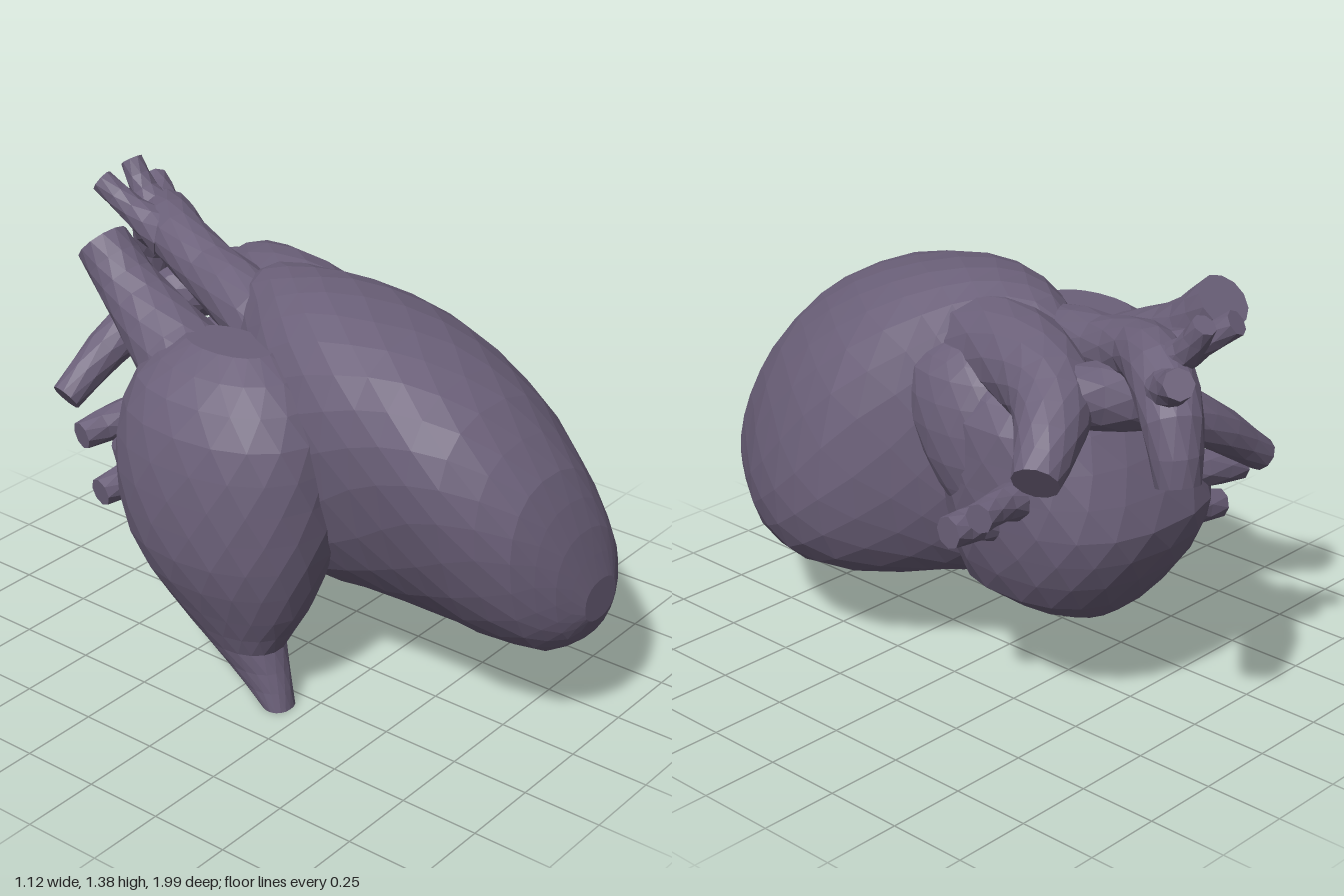
import * as THREE from 'three';

const X = new THREE.Vector3(1, 0, 0);
const Y = new THREE.Vector3(0, 1, 0);
const Z = new THREE.Vector3(0, 0, 1);

// Closed, capped skin through sections [x, y, z, radiusU, radiusV, lean].
// With fixed = [U, V] all rings share one plane; otherwise they follow the path.
// Lean shears a ring toward -U at its top and +U at its bottom.
function loft(sections, rings, sides, fixed = null, power = 2) {
  const path = new THREE.CatmullRomCurve3(sections.map(s => new THREE.Vector3(s[0], s[1], s[2])));
  const sizes = new THREE.CatmullRomCurve3(
    sections.map(s => new THREE.Vector3(s[3], s[4] ?? s[3], s[5] ?? 0)));
  const pos = [], index = [];
  let U = fixed ? fixed[0].clone() : null, V = fixed ? fixed[1] : null;
  const round = v => Math.sign(v) * Math.pow(Math.abs(v), 2 / power);
  for (let i = 0; i <= rings; i++) {
    const t = i / rings, c = path.getPoint(t), r = sizes.getPoint(t);
    if (!fixed) {
      const W = path.getTangent(t);
      if (!U) U = Math.abs(W.y) < 0.8 ? Y.clone() : X.clone();
      U.addScaledVector(W, -U.dot(W)).normalize();
      V = W.clone().cross(U);
    }
    for (let j = 0; j < sides; j++) {
      const a = ((j + (i % 2) * 0.5) / sides) * Math.PI * 2;
      const cu = round(Math.cos(a)), sv = round(Math.sin(a));
      const p = c.clone().addScaledVector(U, cu * r.x - sv * r.z).addScaledVector(V, sv * r.y);
      pos.push(p.x, p.y, p.z);
    }
  }
  // Staggered rings are joined by a regular triangle strip
  for (let i = 0; i < rings; i++) {
    for (let j = 0; j < sides; j++) {
      const k = (j + 1) % sides;
      const a = i * sides + j, b = i * sides + k;
      const d = a + sides, c = b + sides;
      if (i % 2 === 0) index.push(a, b, d, b, c, d);
      else index.push(a, b, c, a, c, d);
    }
  }
  // Flat end caps
  const last = rings * sides;
  const first = path.getPoint(0), end = path.getPoint(1);
  const n = pos.length / 3;
  pos.push(first.x, first.y, first.z, end.x, end.y, end.z);
  for (let j = 0; j < sides; j++) {
    const k = (j + 1) % sides;
    index.push(n, k, j, n + 1, last + j, last + k);
  }
  const g = new THREE.BufferGeometry();
  g.setAttribute('position', new THREE.Float32BufferAttribute(pos, 3));
  g.setIndex(index);
  g.computeVertexNormals();
  return g;
}

export function createModel() {
  const group = new THREE.Group();
  const tissue = new THREE.MeshStandardMaterial({ color: 0x6b6079, flatShading: true });
  tissue.name = 'mauve tissue';

  const add = (name, geometry) => {
    const mesh = new THREE.Mesh(geometry, tissue);
    mesh.name = name;
    group.add(mesh);
  };
  const tube = (name, points, rings = 6, sides = 10) => add(name, loft(points, rings, sides));

  // Ventricles: upright rings from the back to the apex in front
  add('ventricles', loft([
    [0.09, 0.82, -0.36, 0.09, 0.30, 0],
    [0.08, 0.81, -0.20, 0.20, 0.42, 0.01],
    [0.05, 0.79, -0.05, 0.29, 0.465, 0.01],
    [0.06, 0.775, 0.10, 0.35, 0.485, 0.04],
    [0.10, 0.745, 0.30, 0.405, 0.485, 0.10],
    [0.10, 0.71, 0.50, 0.39, 0.465, 0.13],
    [0.07, 0.665, 0.70, 0.345, 0.41, 0.12],
    [0.06, 0.59, 0.88, 0.245, 0.305, 0.07],
    [0.09, 0.53, 0.96, 0.165, 0.185, 0.03],
    [0.10, 0.49, 1.00, 0.08, 0.065, 0],
  ], 18, 22, [X, Y], 2.3));

  // Right atrium, narrowing downward into the lower vein
  add('rightAtriumAndLowerVein', loft([
    [-0.335, 0.005, 0.155, 0.045, 0.052],
    [-0.33, 0.10, 0.085, 0.095, 0.07],
    [-0.325, 0.20, 0.015, 0.135, 0.105],
    [-0.31, 0.30, -0.01, 0.22, 0.165],
    [-0.30, 0.45, -0.05, 0.31, 0.235],
    [-0.28, 0.60, -0.07, 0.36, 0.28],
    [-0.28, 0.75, -0.08, 0.37, 0.275],
    [-0.27, 0.90, -0.08, 0.35, 0.255],
    [-0.26, 1.03, -0.09, 0.28, 0.19],
    [-0.24, 1.11, -0.10, 0.15, 0.09],
  ], 14, 18, [Z, X], 2.2));

  // Left atrium at the back
  add('leftAtrium', loft([
    [0.03, 0.30, -0.34, 0.13, 0.14],
    [0.03, 0.36, -0.27, 0.27, 0.27],
    [0.02, 0.50, -0.29, 0.34, 0.35],
    [0.02, 0.64, -0.295, 0.375, 0.375],
    [0.05, 0.80, -0.27, 0.34, 0.35],
    [0.09, 0.95, -0.24, 0.26, 0.29],
    [0.11, 1.05, -0.22, 0.15, 0.18],
  ], 10, 18, [Z, X], 2.5));

  // Ear-shaped pouch beside the pulmonary trunk
  add('leftAuricle', loft([
    [0.29, 0.62, -0.15, 0.08, 0.06],
    [0.31, 0.76, -0.12, 0.15, 0.09],
    [0.31, 0.92, -0.08, 0.18, 0.09],
    [0.29, 1.04, -0.06, 0.16, 0.07],
    [0.27, 1.10, -0.07, 0.08, 0.03],
  ], 7, 12, [Z, X]));

  // Great arteries
  tube('aorta', [
    [-0.04, 0.95, 0.02, 0.11], [0.01, 1.08, -0.20, 0.115], [0.08, 1.14, -0.45, 0.095],
    [0.13, 1.19, -0.62, 0.09], [0.23, 1.19, -0.77, 0.095],
    [0.32, 1.10, -0.89, 0.085], [0.34, 0.94, -0.93, 0.064],
  ], 12, 12);
  tube('pulmonaryTrunk', [
    [0.10, 1.04, 0.05, 0.18], [0.18, 1.08, -0.20, 0.15], [0.28, 1.05, -0.42, 0.13],
    [0.40, 0.99, -0.52, 0.10], [0.52, 0.90, -0.58, 0.07],
  ], 10, 12);
  tube('rightPulmonaryArtery', [
    [0.28, 1.06, -0.48, 0.09], [0.10, 1.03, -0.59, 0.09],
    [-0.10, 0.92, -0.68, 0.072], [-0.31, 0.77, -0.72, 0.05],
  ], 8, 10);

  // Upper vein entering the right atrium
  tube('upperVein', [
    [-0.18, 1.265, -0.66, 0.085], [-0.19, 1.15, -0.54, 0.095],
    [-0.215, 1.03, -0.36, 0.13], [-0.25, 0.90, -0.15, 0.17],
  ], 7, 12);

  // Three branches on the aortic arch
  [
    [[0.12, 1.19, -0.66, 0.075], [0.11, 1.25, -0.80, 0.045], [0.085, 1.33, -0.91, 0.038]],
    [[0.21, 1.20, -0.76, 0.07], [0.22, 1.27, -0.85, 0.045], [0.225, 1.36, -0.91, 0.036]],
    [[0.28, 1.16, -0.82, 0.08], [0.33, 1.20, -0.88, 0.055], [0.375, 1.245, -0.95, 0.045]],
  ].forEach((points, i) => tube('archBranch' + (i + 1), points, 4, 8));

  // Two pulmonary veins on each side
  [
    ['leftUpperVein', [0.28, 0.72, -0.36, 0.08], [0.44, 0.75, -0.38, 0.05], [0.555, 0.75, -0.40, 0.045]],
    ['leftLowerVein', [0.28, 0.64, -0.28, 0.09], [0.42, 0.65, -0.26, 0.055], [0.525, 0.65, -0.25, 0.05]],
    ['rightUpperVein', [-0.05, 0.72, -0.48, 0.09], [-0.22, 0.71, -0.57, 0.06], [-0.36, 0.69, -0.61, 0.045]],
    ['rightLowerVein', [-0.05, 0.58, -0.44, 0.09], [-0.24, 0.55, -0.49, 0.06], [-0.38, 0.53, -0.52, 0.045]],
  ].forEach(([name, ...points]) => tube(name, points, 4, 8));

  return group;
}
